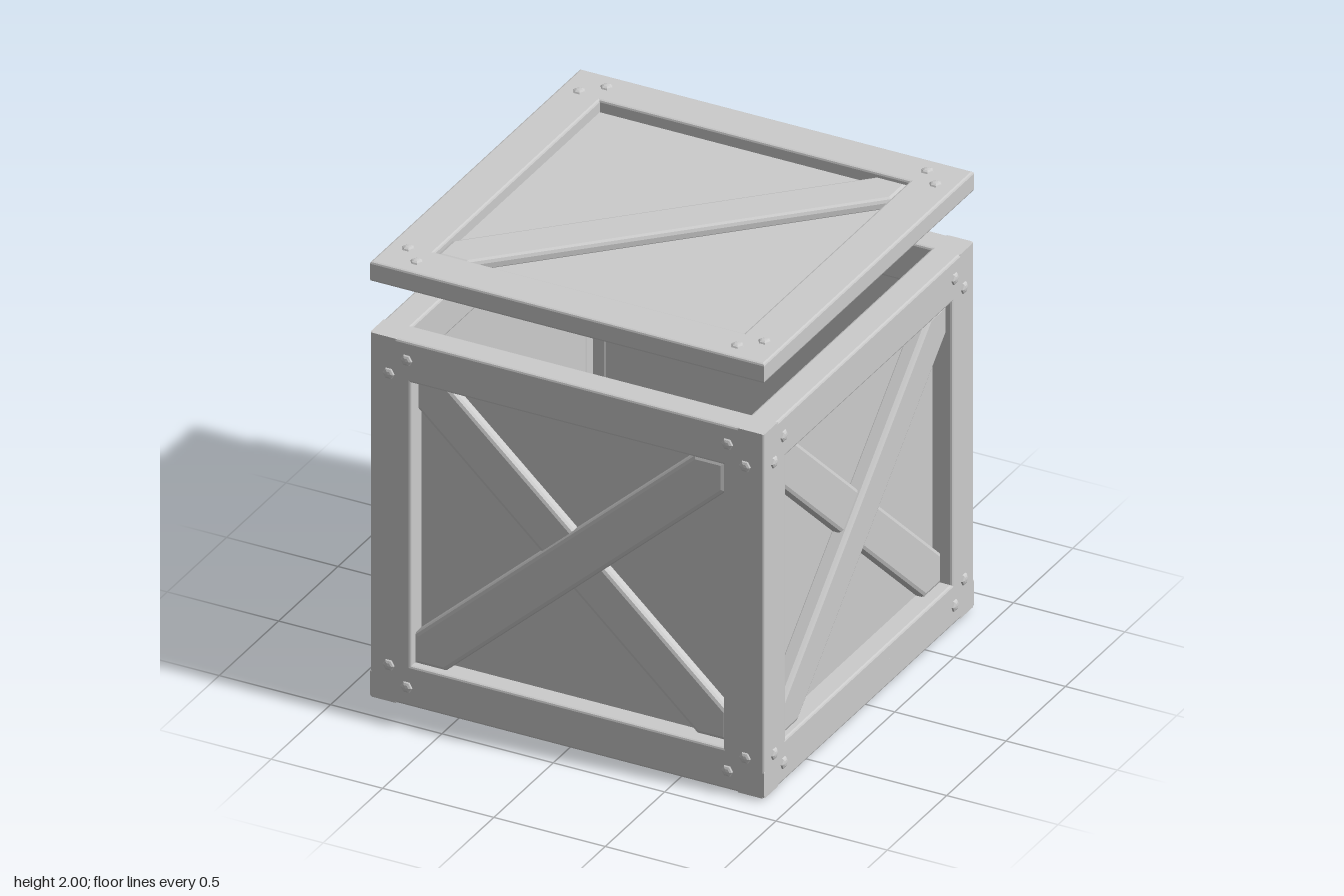
import * as THREE from 'three';

const material = new THREE.MeshStandardMaterial({ color: 0xcccccc });
const boltMaterial = new THREE.MeshStandardMaterial({ color: 0xcccccc, flatShading: true });

function add(parent, name, geometry, mat = material) {
  const mesh = new THREE.Mesh(geometry, mat);
  mesh.name = name;
  parent.add(mesh);
  return mesh;
}

const rectPoints = (w, h) => [[-w, -h], [w, -h], [w, h], [-w, h]].map(([x, y]) => new THREE.Vector2(x, y));

// Bevelled slab between two z depths, keeping the outline at its drawn size
function slab(shape, back, front, bevel) {
  const g = new THREE.ExtrudeGeometry(shape, {
    depth: front - back - 2 * bevel, bevelEnabled: true, bevelThickness: bevel,
    bevelSize: bevel, bevelOffset: -bevel, bevelSegments: 2,
  });
  return g.translate(0, 0, back + bevel);
}

// Diagonal board whose ends are cut to fit the corners of the opening
function braceShape(w, h, side) {
  const a = 0.14, b = 0.135;
  const pts = [[-w, -h], [-w + a, -h], [w, h - b], [w, h], [w - a, h], [-w, -h + b]];
  return new THREE.Shape(pts.map(([x, y]) => new THREE.Vector2(x * side, y)));
}

// One framed face: outer surface at local z = 0, facing +z
function createFace(name, o) {
  const { hw, hh, border, thickness, recess, braces } = o;
  const face = new THREE.Group();
  face.name = name;
  const w = hw - border, h = hh - border;

  const outline = new THREE.Shape(rectPoints(hw, hh));
  outline.holes.push(new THREE.Path(rectPoints(w, h).reverse()));
  add(face, 'frame', slab(outline, -thickness, 0, 0.01));

  const panelDepth = thickness - recess - 0.004;
  add(face, 'panel', new THREE.BoxGeometry(2 * w + 0.04, 2 * h + 0.04, panelDepth))
    .position.z = -recess - panelDepth / 2;

  for (const { side, depth } of braces) {
    add(face, 'brace', slab(braceShape(w - 0.003, h - 0.003, side), -recess - 0.015, -depth, 0.018));
  }

  // Two domed hexagonal bolts in every corner
  const boltGeometry = new THREE.SphereGeometry(0.027, 6, 3, 0, Math.PI * 2, 0, Math.PI / 2)
    .scale(1, 0.012 / 0.027, 1).rotateX(Math.PI / 2);
  for (const sx of [-1, 1]) for (const sy of [-1, 1]) {
    for (const [dx, dy] of [[0.165, 0.085], [0.085, 0.165]]) {
      add(face, 'bolt', boltGeometry, boltMaterial).position.set(sx * (hw - dx), sy * (hh - dy), 0);
    }
  }
  return face;
}

export function createModel() {
  const model = new THREE.Group();
  model.name = 'crate';
  const half = 0.885, bottom = 0.012, top = 1.667;
  const midY = (bottom + top) / 2;

  // Open-topped body: four crossed sides and a floor
  const body = new THREE.Group();
  body.name = 'body';
  model.add(body);
  ['frontSide', 'leftSide', 'backSide', 'rightSide'].forEach((name, i) => {
    const face = createFace(name, {
      hw: half, hh: (top - bottom) / 2, border: 0.184, thickness: 0.125, recess: 0.09,
      braces: [{ side: 1, depth: 0.02 }, { side: -1, depth: 0.045 }],
    });
    const angle = i * Math.PI / 2;
    face.rotation.y = angle;
    face.position.set(Math.sin(angle) * half, midY, Math.cos(angle) * half);
    body.add(face);
  });
  const floor = createFace('floor', {
    hw: half, hh: half, border: 0.19, thickness: 0.125, recess: 0.09,
    braces: [{ side: 1, depth: 0.02 }],
  });
  floor.rotation.x = Math.PI / 2;
  floor.position.y = bottom;
  body.add(floor);

  // Lid hovering above the body, with a plug that fits the opening
  const lid = new THREE.Group();
  lid.name = 'lid';
  model.add(lid);
  const cover = createFace('cover', {
    hw: half, hh: half, border: 0.19, thickness: 0.09, recess: 0.055,
    braces: [{ side: 1, depth: 0.012 }],
  });
  cover.rotation.x = -Math.PI / 2;
  cover.position.y = 1.988;
  lid.add(cover);
  const plug = add(lid, 'plug', slab(new THREE.Shape(rectPoints(0.76, 0.76)), 0, 0.06, 0.006));
  plug.rotation.x = -Math.PI / 2;
  plug.position.y = 1.855;

  return model;
}
